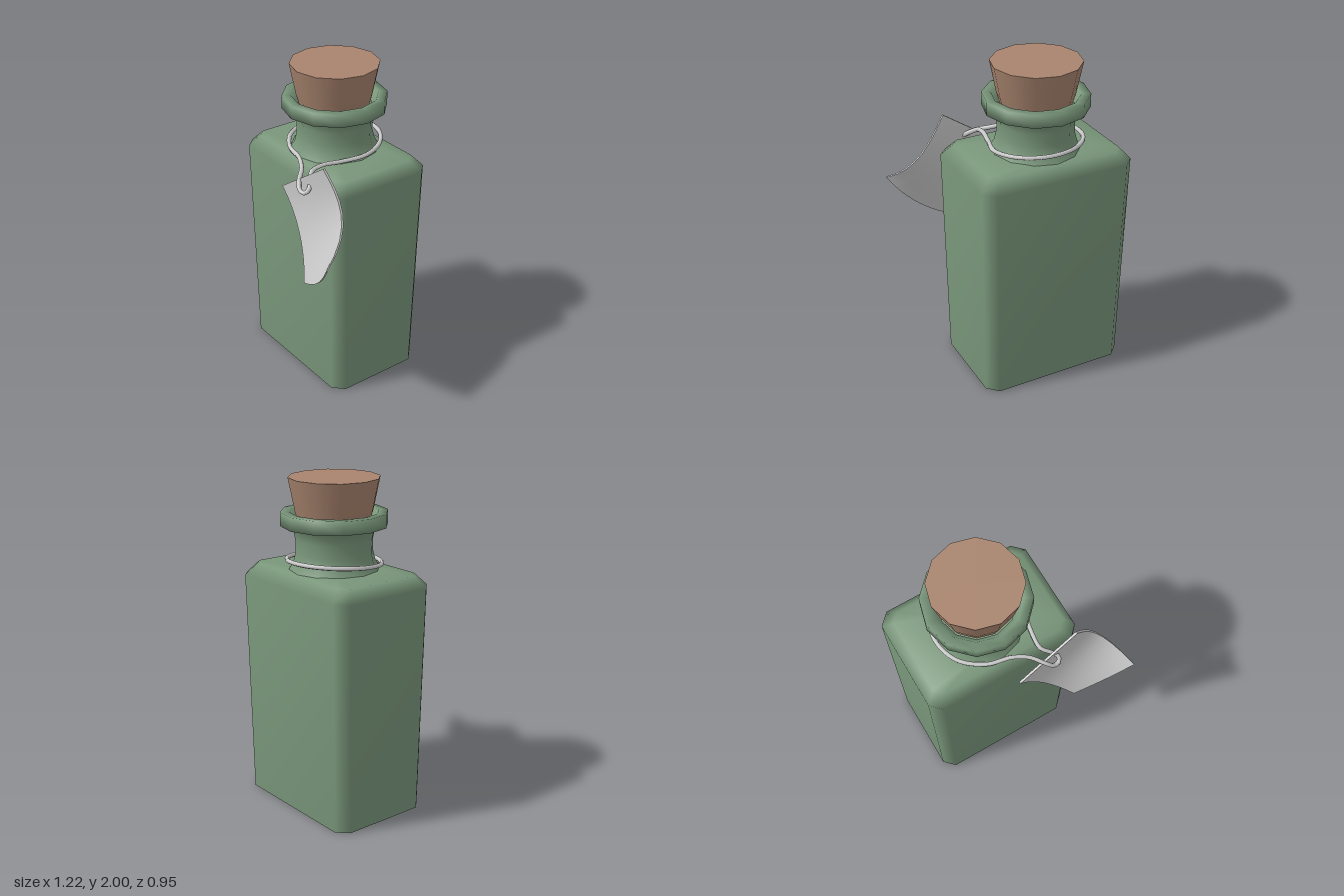
import * as THREE from 'three';
import { toCreasedNormals } from 'three/addons/utils/BufferGeometryUtils.js';

const AXIS_X = -0.12, AXIS_Z = -0.13, SIDES = 12;

const glass = new THREE.MeshStandardMaterial({ color: 0x79967a });
const innerGlass = new THREE.MeshStandardMaterial({ color: 0x79967a, side: THREE.DoubleSide });
const corkMaterial = new THREE.MeshStandardMaterial({ color: 0xa8846e });
const grey = new THREE.MeshStandardMaterial({ color: 0xcccccc });

function part(name, geometry, material) {
  const mesh = new THREE.Mesh(geometry, material);
  mesh.name = name;
  return mesh;
}

const lathe = (points) =>
  new THREE.LatheGeometry(points.map(([r, y]) => new THREE.Vector2(r, y)), SIDES);

// Chamfered rectangular rings [half width, half depth, corner cut, y], joined bottom to top
function loftChamferedBox(rings) {
  const positions = [], index = [];
  for (const [w, d, c, y] of rings) {
    const corners = [
      [w, -d + c], [w, d - c], [w - c, d], [-w + c, d],
      [-w, d - c], [-w, -d + c], [-w + c, -d], [w - c, -d],
    ];
    for (const [x, z] of corners) positions.push(x, y, z);
  }
  for (let i = 0; i < rings.length - 1; i++) {
    for (let j = 0; j < 8; j++) {
      const a = i * 8 + j, b = i * 8 + (j + 1) % 8;
      index.push(a, a + 8, b, b, a + 8, b + 8);
    }
  }
  const geometry = new THREE.BufferGeometry();
  geometry.setAttribute('position', new THREE.Float32BufferAttribute(positions, 3));
  geometry.setIndex(index);
  geometry.computeVertexNormals();
  return geometry;
}

// Thin sheet, tilted and curled forward at its lower end
function tagGeometry() {
  const geometry = new THREE.BoxGeometry(1, 1, 1, 8, 8, 1);
  const p = geometry.attributes.position;
  const mix = THREE.MathUtils.lerp;
  for (let i = 0; i < p.count; i++) {
    const u = p.getX(i) + 0.5, v = 0.5 - p.getY(i);
    const bulge = 4 * u * (1 - u) * v * v;
    const x = mix(mix(-0.08, 0.30, u), mix(0.26, 0.605, u), v) + 0.025 * bulge;
    const y = mix(mix(1.33, 1.59, u), mix(0.855, 1.145, u), v) - 0.025 * bulge;
    const leftZ = 0.28 - 0.082 * v + 0.172 * v * v;
    const rightZ = 0.26 - 0.1 * v + 0.31 * v ** 3;
    p.setXYZ(i, x, y, mix(leftZ, rightZ, u) + p.getZ(i) * 0.014);
  }
  geometry.computeVertexNormals();
  return geometry;
}

// String loop: around the back of the neck, then down through the tag
function stringGeometry() {
  const points = [];
  for (let i = 0; i <= 8; i++) {
    const a = THREE.MathUtils.degToRad(30 - i * 35);
    const x = AXIS_X + 0.28 * Math.cos(a), z = AXIS_Z + 0.28 * Math.sin(a);
    points.push(new THREE.Vector3(x, 1.505 - 0.08 * (z - AXIS_Z) - 0.03 * (x - AXIS_X), z));
  }
  const front = [
    [-0.07, 1.485, 0.17], [0.02, 1.465, 0.215], [0.09, 1.43, 0.285],
    [0.13, 1.395, 0.307], [0.17, 1.39, 0.30], [0.178, 1.41, 0.28],
    [0.15, 1.44, 0.245], [0.10, 1.475, 0.20], [0.10, 1.49, 0.12],
  ];
  points.push(...front.map((q) => new THREE.Vector3(...q)));
  const curve = new THREE.CatmullRomCurve3(points, true);
  return new THREE.TubeGeometry(curve, 90, 0.014, 6, true);
}

export function createModel() {
  const model = new THREE.Group();
  const bottle = new THREE.Group();
  bottle.name = 'bottle';
  bottle.position.set(AXIS_X, 0, AXIS_Z);
  model.add(bottle);

  // Tapered body with a hollowed base and bevelled shoulders
  bottle.add(part('body', loftChamferedBox([
    [0, 0, 0, 0.08],
    [0.37, 0.225, 0.05, 0.08],
    [0.42, 0.275, 0.06, 0],
    [0.47, 0.325, 0.065, 0],
    [0.49, 0.348, 0.068, 1.39],
    [0.43, 0.285, 0.05, 1.46],
    [0.2, 0.2, 0.05, 1.465],
    [0, 0, 0, 1.465],
  ]), glass));

  // Neck, and the collar around its mouth
  bottle.add(part('neck', lathe([
    [0.275, 1.455], [0.245, 1.5], [0.23, 1.56], [0.23, 1.64], [0.24, 1.69], [0.265, 1.725],
  ]), innerGlass));
  bottle.add(part('collar', lathe([
    [0.23, 1.72], [0.317, 1.72], [0.317, 1.8], [0.262, 1.8], [0.222, 1.74],
  ]), innerGlass));

  // Tapered stopper
  bottle.add(part('cork', toCreasedNormals(lathe([
    [0, 1.7], [0.2, 1.7], [0.23, 1.8], [0.27, 2.0], [0, 2.0],
  ]), 0.7), corkMaterial));

  model.add(part('string', stringGeometry(), grey));
  model.add(part('tag', tagGeometry(), grey));
  return model;
}
